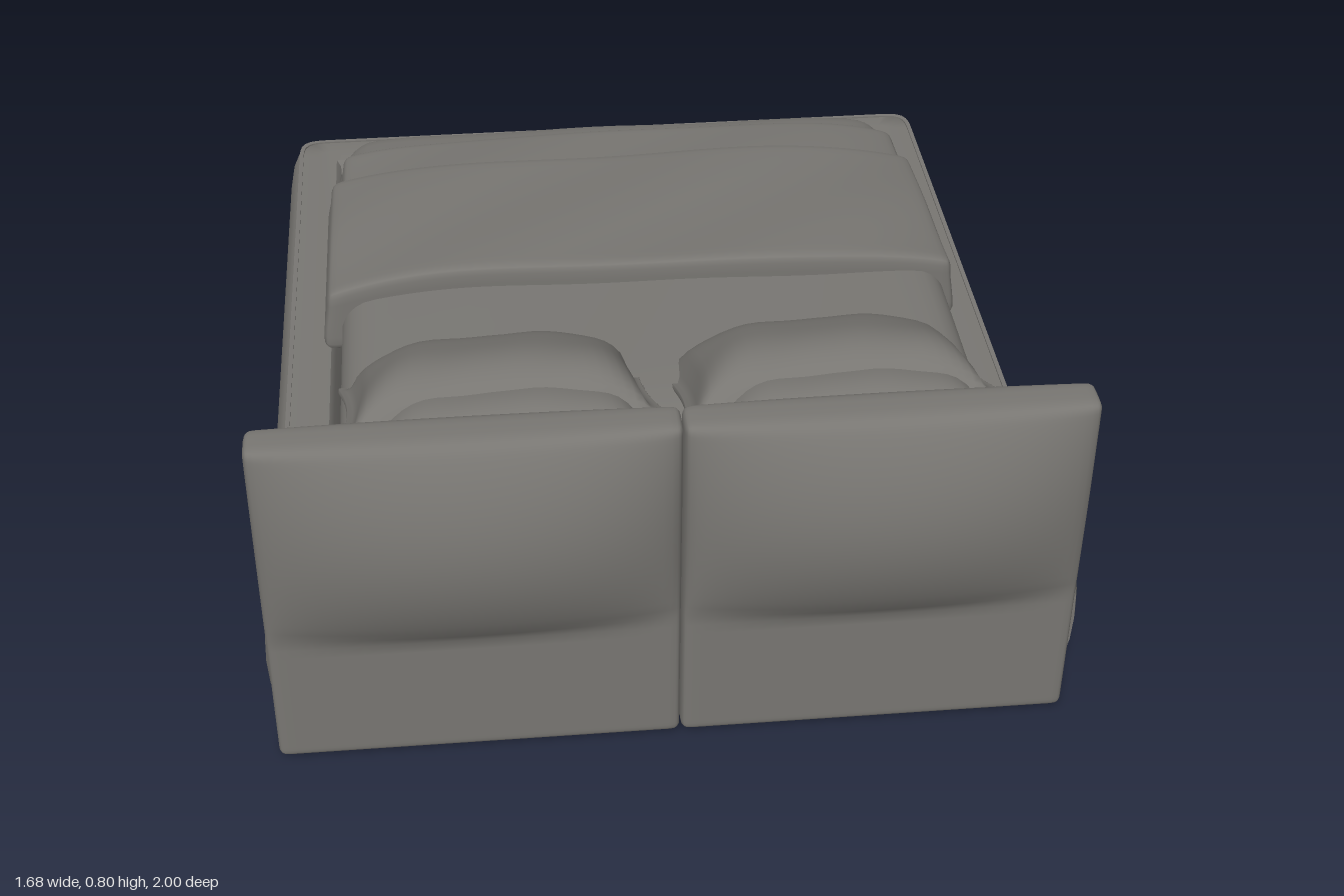
import * as THREE from 'three';
import { mergeVertices, toCreasedNormals } from 'three/addons/utils/BufferGeometryUtils.js';

const fabric = new THREE.MeshStandardMaterial({ color: 0x787672 });
fabric.name = 'grey fabric';
const wood = new THREE.MeshStandardMaterial({ color: 0xa29480 });
wood.name = 'slat wood';
const metal = new THREE.MeshStandardMaterial({ color: 0x0d0d0d });
metal.name = 'black metal';

const smooth = THREE.MathUtils.smoothstep;

function add(parent, name, geometry, material = fabric) {
  const mesh = new THREE.Mesh(geometry, material);
  mesh.name = name;
  parent.add(mesh);
  return mesh;
}

// Rounded box between two corners; the rule moves each vertex, given its
// position and its normalised place (-1..1) in the box.
function softBox(min, max, radius, rule, segs) {
  const lo = new THREE.Vector3(...min), hi = new THREE.Vector3(...max);
  const half = hi.clone().sub(lo).multiplyScalar(0.5);
  const mid = hi.clone().add(lo).multiplyScalar(0.5);
  let geo = new THREE.BoxGeometry(2, 2, 2, ...segs);
  geo.deleteAttribute('uv');
  geo.deleteAttribute('normal');
  geo = mergeVertices(geo);
  const pos = geo.attributes.position;
  const core = half.clone().subScalar(radius);
  const p = new THREE.Vector3(), c = new THREE.Vector3(), n = new THREE.Vector3();
  for (let i = 0; i < pos.count; i++) {
    p.fromBufferAttribute(pos, i);
    p.set(...p.toArray().map((v) => Math.sin(v * Math.PI / 2))).multiply(half);
    c.copy(p).clamp(core.clone().negate(), core);
    p.sub(c).normalize().multiplyScalar(radius).add(c);
    n.copy(p).divide(half);
    p.add(mid);
    rule(p, n);
    pos.setXYZ(i, p.x, p.y, p.z);
  }
  geo.computeVertexNormals();
  return geo;
}

// Sweeps a closed [outward, y] profile round the two sides and the foot,
// with squarish corners at the foot.
function sweepFrame(profile) {
  const stations = [[-0.7, 0.84, Math.PI, 0.94], [-0.7, 0.815, Math.PI, 1], [-0.7, 0, Math.PI, 1]];
  for (const [x, start] of [[-0.7, Math.PI], [0.7, Math.PI * 1.5]])
    for (let i = 0; i <= 12; i++) {
      const a = start + i * Math.PI / 24;
      const square = (Math.abs(Math.cos(a)) ** 5 + Math.abs(Math.sin(a)) ** 5) ** -0.2;
      stations.push([x, -0.86, a, square]);
    }
  stations.push([0.7, 0, 0, 1], [0.7, 0.815, 0, 1], [0.7, 0.84, 0, 0.94]);
  const verts = [], index = [], n = profile.length;
  for (const [x, z, a, s] of stations)
    for (const [d, y] of profile) verts.push(x + Math.cos(a) * d * s, y, z + Math.sin(a) * d * s);
  for (let i = 0; i < stations.length - 1; i++)
    for (let j = 0; j < n; j++) {
      const a = i * n + j, b = i * n + (j + 1) % n;
      index.push(a, b, a + n, b, b + n, a + n);
    }
  const last = (stations.length - 1) * n;
  for (let j = 1; j < n - 1; j++) index.push(0, j + 1, j, last, last + j, last + j + 1);
  const geo = new THREE.BufferGeometry();
  geo.setAttribute('position', new THREE.Float32BufferAttribute(verts, 3));
  geo.setIndex(index);
  return toCreasedNormals(geo, 0.7);
}

// Pillow with a plump middle and a thin flange round the edge.
function pillowGeometry(w, h, d) {
  return softBox([-w / 2, -1, -d / 2], [w / 2, 1, d / 2], 0.005, (p) => {
    const u = Math.min(1, Math.abs(p.x) / (w / 2) * 1.08), v = Math.min(1, Math.abs(p.z) / (d / 2) * 1.08);
    const plump = Math.sqrt((1 - u ** 4) * (1 - v ** 3));
    const crease = 0.007 * Math.sin(p.x * 28 + p.z * 9) * plump * u;
    p.y = p.y * (0.006 + (h / 2) * plump) + crease;
    p.x *= 1 - 0.05 * (1 - v * v);
    p.z *= 1 - 0.06 * (1 - u * u);
  }, [32, 2, 28]);
}

export function createModel() {
  const bed = new THREE.Group();
  bed.name = 'bed';

  // Upholstered frame, rounded on its outer face, with piping and a hem
  const frame = new THREE.Group();
  frame.name = 'bedFrame';
  bed.add(frame);
  add(frame, 'frameRails', sweepFrame([
    [0, 0.02], [0.09, 0.014], [0.108, 0.022], [0.124, 0.06], [0.137, 0.12], [0.14, 0.18],
    [0.137, 0.24], [0.126, 0.295], [0.112, 0.33], [0.098, 0.344], [0.05, 0.347], [0.01, 0.343], [0, 0.33],
  ]));
  add(frame, 'framePiping', sweepFrame([[0.096, 0.338], [0.106, 0.338], [0.106, 0.348], [0.096, 0.348]]));
  add(frame, 'frameHem', sweepFrame([[0.094, 0.002], [0.102, 0.002], [0.102, 0.02], [0.094, 0.02]]));

  // Two headboard panels: flat below, plump cushions above on both faces
  for (const [name, x0, x1] of [['headboardRight', -0.825, -0.001], ['headboardLeft', 0.001, 0.802]]) {
    add(bed, name, softBox([x0, 0.006, 0.84], [x1, 0.803, 0.92], 0.018, (p, n) => {
      const start = 0.31 + 0.02 * n.x ** 2;
      const t = THREE.MathUtils.clamp((p.y - start) / (0.803 - start), 0, 1);
      const across = Math.max(0, 1 - n.x ** 2) ** 0.65;
      const bulge = 0.085 * across * Math.sin(Math.PI * t) ** 0.72;
      p.z += n.z * bulge;
    }, [28, 48, 8]));
  }

  // Slatted base with a metal frame and centre beam
  const base = new THREE.Group();
  base.name = 'slattedBase';
  bed.add(base);
  const bar = (name, w, h, d, x, y, z, mat) =>
    add(base, name, new THREE.BoxGeometry(w, h, d), mat).position.set(x, y, z);
  for (const x of [-0.66, 0, 0.67]) bar('baseBeam', 0.05, 0.05, 1.64, x, 0.222, -0.03, metal);
  for (const z of [-0.83, 0.765]) bar('baseCrossBar', 1.37, 0.05, 0.04, 0.005, 0.222, z, metal);
  for (let i = 0; i < 18; i++)
    for (const side of [-1, 1])
      bar('slat', 0.65, 0.012, 0.062, side * 0.355, 0.254, -0.83 + i * 0.0941, wood);

  // Mattress, sloping down towards both ends
  add(bed, 'mattress', softBox([-0.68, 0.262, -0.905], [0.715, 0.49, 0.775], 0.07, (p, n) => {
    const top = smooth(p.y, 0.3, 0.49);
    const drop = 0.08 * smooth(-p.z, 0.45, 0.93) + 0.055 * smooth(p.z, 0.35, 0.78) + 0.025 * n.x ** 6;
    p.y -= top * (drop - 0.003 * Math.sin(p.x * 11 + p.z * 5));
  }, [32, 12, 36]));

  // Folded layers across the bed, hanging down to the rails
  function drape(name, min, max, fall) {
    add(bed, name, softBox(min, max, 0.022, (p, n) => {
      const top = smooth(p.y, min[1], max[1]);
      const ripple = 0.003 * Math.sin(p.x * 9 + p.z * 14);
      p.y -= top * (fall * (1 - n.z) / 2 + 0.045 * Math.abs(n.x) ** 5 - ripple);
      p.x -= 0.015 * n.x * top;
      p.z += 0.008 * Math.sin(p.x * 5) * n.z;
    }, [36, 10, 20]));
  }
  drape('blanket', [-0.725, 0.34, -0.57], [0.745, 0.542, -0.03], 0.032);
  drape('foldedSheet', [-0.7, 0.335, -0.735], [0.73, 0.505, -0.45], 0.025);

  // Pillows: one leaning on another on each side
  for (const [side, x] of [['Right', -0.365], ['Left', 0.333]]) {
    const stack = new THREE.Group();
    stack.name = 'pillows' + side;
    stack.position.x = x;
    stack.rotation.y = 0.05;
    bed.add(stack);
    const upper = add(stack, 'upperPillow', pillowGeometry(0.66, 0.25, 0.43));
    upper.position.set(0, 0.52, 0.435);
    upper.rotation.x = -0.4;
    const lower = add(stack, 'lowerPillow', pillowGeometry(0.62, 0.2, 0.34));
    lower.position.set(0.01, 0.537, 0.56);
    lower.rotation.x = -0.25;
  }
  return bed;
}
